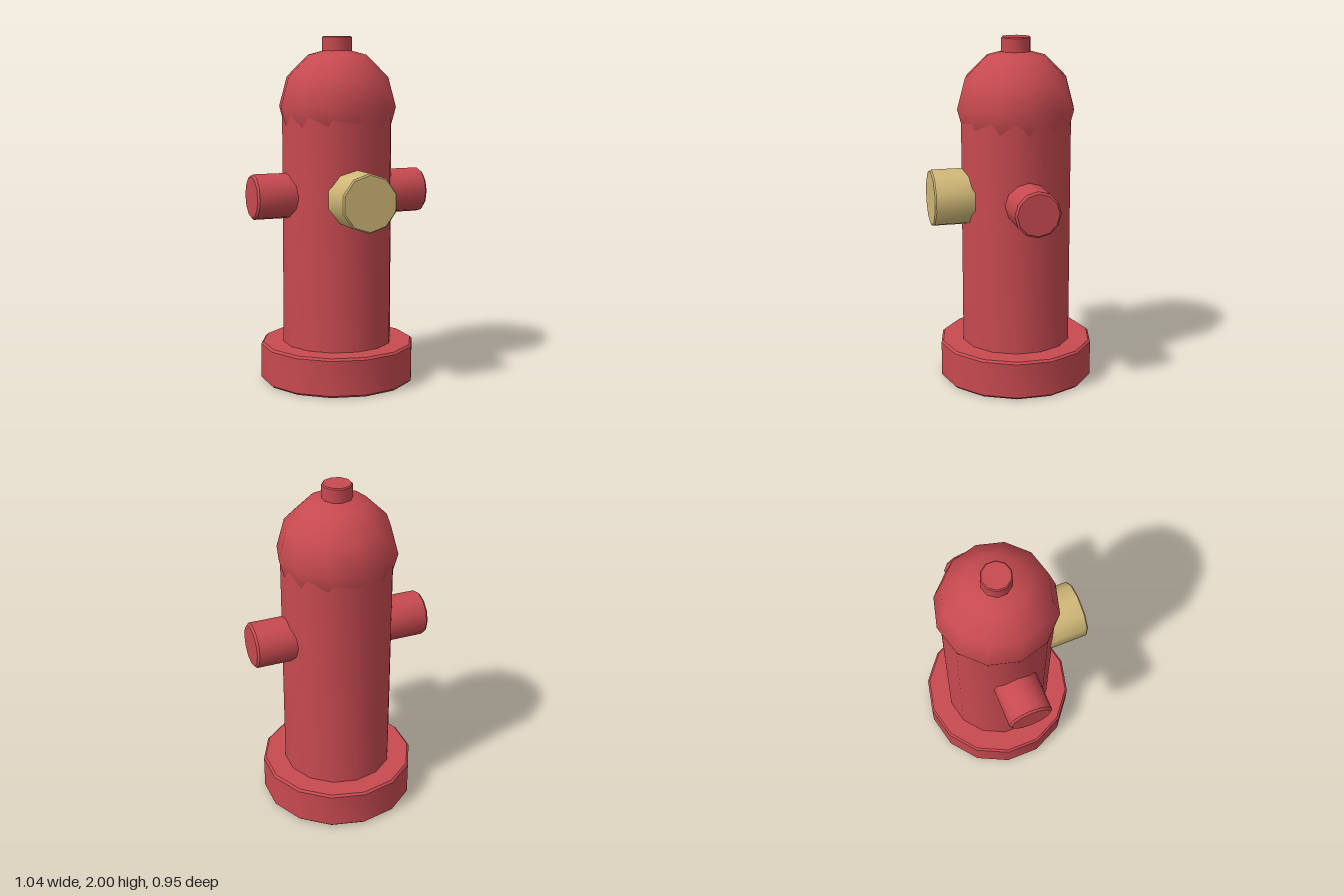
import * as THREE from 'three';
import { toCreasedNormals } from 'three/addons/utils/BufferGeometryUtils.js';

const AXIS_Z = -0.025; // the barrel sits slightly behind centre
const PORT_Y = 1.097;

// Cylinder from y0 to y1 with small chamfered rims, smooth around its side
function chamferedCylinder(radius, y0, y1, sides, c = 0.012) {
  const profile = [
    [0, y0], [radius - c, y0], [radius, y0 + c],
    [radius, y1 - c], [radius - c, y1], [0, y1],
  ].map(([x, y]) => new THREE.Vector2(x, y));
  return toCreasedNormals(new THREE.LatheGeometry(profile, sides), 0.7);
}

export function createModel() {
  const group = new THREE.Group();
  const red = new THREE.MeshStandardMaterial({ color: 0xc74a50 });
  red.name = 'hydrant red';
  const brass = new THREE.MeshStandardMaterial({ color: 0xd0b878 });
  brass.name = 'brass yellow';

  function add(name, geometry, material, y = 0) {
    const mesh = new THREE.Mesh(geometry, material);
    mesh.name = name;
    mesh.position.set(0, y, AXIS_Z);
    group.add(mesh);
    return mesh;
  }

  // Upright parts
  add('base', chamferedCylinder(0.45, 0, 0.225, 14), red);
  add('barrel', chamferedCylinder(0.318, 0.2, 1.6, 14), red);
  add('dome', new THREE.SphereGeometry(0.34, 12, 6), red, 1.6);
  add('topKnob', chamferedCylinder(0.085, 1.85, 2, 10, 0.006), red);

  // Side outlets
  for (const side of [1, -1]) {
    const outlet = chamferedCylinder(0.13, 0.2, 0.52, 12);
    outlet.rotateZ(-side * Math.PI / 2);
    add(side > 0 ? 'leftOutlet' : 'rightOutlet', outlet, red, PORT_Y);
  }

  // Front outlet cap
  const cap = chamferedCylinder(0.165, 0.2, 0.5, 10, 0.008);
  cap.rotateX(Math.PI / 2);
  add('frontCap', cap, brass, PORT_Y);

  return group;
}
